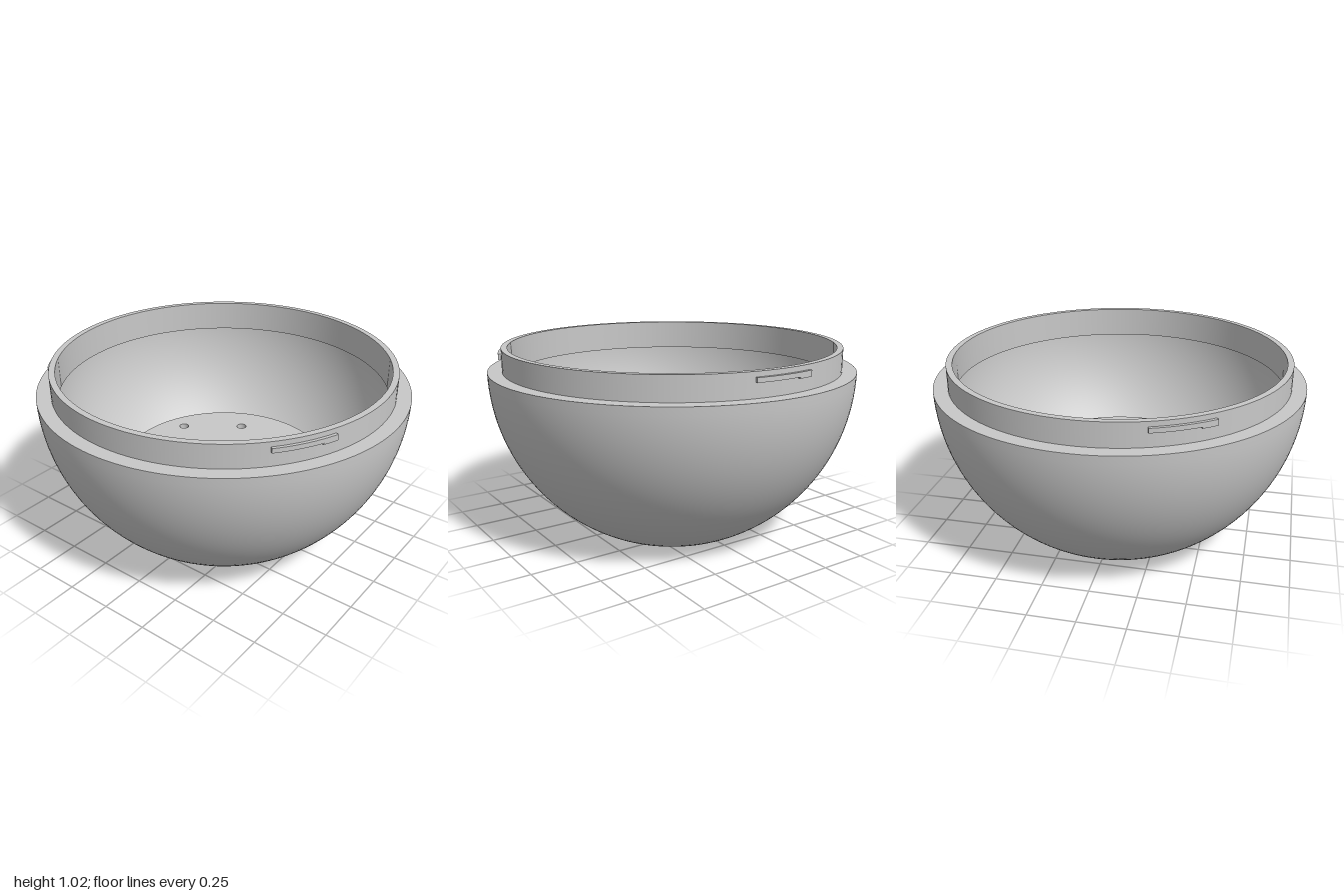
import * as THREE from 'three';

const SEGMENTS = 128;

// Points along a circle centred on the axis at height cy, between two angles from straight down
function arcProfile(radius, cy, from, to, steps) {
  return Array.from({ length: steps + 1 }, (_, i) => {
    const a = from + (to - from) * i / steps;
    return new THREE.Vector2(radius * Math.sin(a), cy - radius * Math.cos(a));
  });
}

export function createModel() {
  const model = new THREE.Group();
  const grey = new THREE.MeshStandardMaterial({ name: 'grey', color: 0xc8c8c8 });

  function add(name, geometry, parent = model) {
    const mesh = new THREE.Mesh(geometry, grey);
    mesh.name = name;
    parent.add(mesh);
    return mesh;
  }
  const lathe = (name, points, segments = SEGMENTS, parent = model) =>
    add(name, new THREE.LatheGeometry(
      points.map(p => (p.isVector2 ? p : new THREE.Vector2(...p))), segments), parent);

  const shoulderY = 0.9, rimY = 1.025, floorY = 0.402, lipY = 0.857;
  const neckR = 0.923, innerR = 0.89, floorR = 0.58;

  // Outer shell: flat base blending into a sphere
  lathe('outerShell', [[0, 0], [0.415, 0],
    ...arcProfile(1, shoulderY, Math.asin(0.436), Math.PI / 2, 26)]);

  // Stepped neck ring, each face separate so its edges stay sharp
  lathe('shoulder', [[1, shoulderY], [neckR, shoulderY]]);
  lathe('neckOuterWall', [[neckR, shoulderY], [neckR, rimY]]);
  lathe('rim', [[neckR, rimY], [innerR, rimY]]);
  lathe('neckInnerWall', [[innerR, rimY], [innerR, lipY]]);

  // Hollow: sphere concentric with the shell, starting under the lip of the neck ring
  const hollow = arcProfile(neckR, shoulderY,
    Math.acos((shoulderY - lipY) / neckR), Math.asin(floorR / neckR), 32);
  lathe('neckUnderside', [[innerR, lipY], hollow[0]]);
  lathe('hollow', hollow);

  // Round pedestal rising from the hollow, with six blind screw holes in its top
  lathe('pedestalWall', [hollow[hollow.length - 1], [floorR, floorY]]);
  const holeR = 0.028;
  const holes = [-1, 1].flatMap(s => [[s * 0.167, -0.436], [s * 0.38, -0.15], [s * 0.38, 0.145]]);
  const floorShape = new THREE.Shape().absarc(0, 0, floorR, 0, Math.PI * 2, false);
  for (const [x, z] of holes) {
    floorShape.holes.push(new THREE.Path().absarc(x, -z, holeR, 0, Math.PI * 2, true));
  }
  add('pedestalTop', new THREE.ShapeGeometry(floorShape, SEGMENTS / 2).rotateX(-Math.PI / 2))
    .position.y = floorY;
  for (const [x, z] of holes) {
    const hole = new THREE.Group();
    hole.name = 'screwHole';
    hole.position.set(x, floorY, z);
    lathe('holeWall', [[holeR, 0], [holeR, -0.1]], 32, hole);
    lathe('holeBottom', [[holeR, -0.1], [0, -0.1]], 32, hole);
    model.add(hole);
  }

  // Curved locking tabs around the neck, each with a small stop at one end
  function tabPiece(from, to, bottom, top) {
    const shape = new THREE.Shape();
    shape.absarc(0, 0, 0.939, from, to, false);
    shape.absarc(0, 0, 0.914, to, from, true);
    return new THREE.ExtrudeGeometry(shape, { depth: top - bottom, bevelEnabled: false, curveSegments: 16 })
      .rotateX(-Math.PI / 2).translate(0, bottom, 0);
  }
  for (let i = 0; i < 3; i++) {
    const tab = new THREE.Group();
    tab.name = 'lockingTab';
    tab.rotation.y = i * Math.PI * 2 / 3;
    add('tabBar', tabPiece(-0.177, 0.177, 0.975, 0.999), tab);
    add('tabStop', tabPiece(0.09, 0.177, 0.968, 0.975), tab);
    model.add(tab);
  }
  return model;
}
